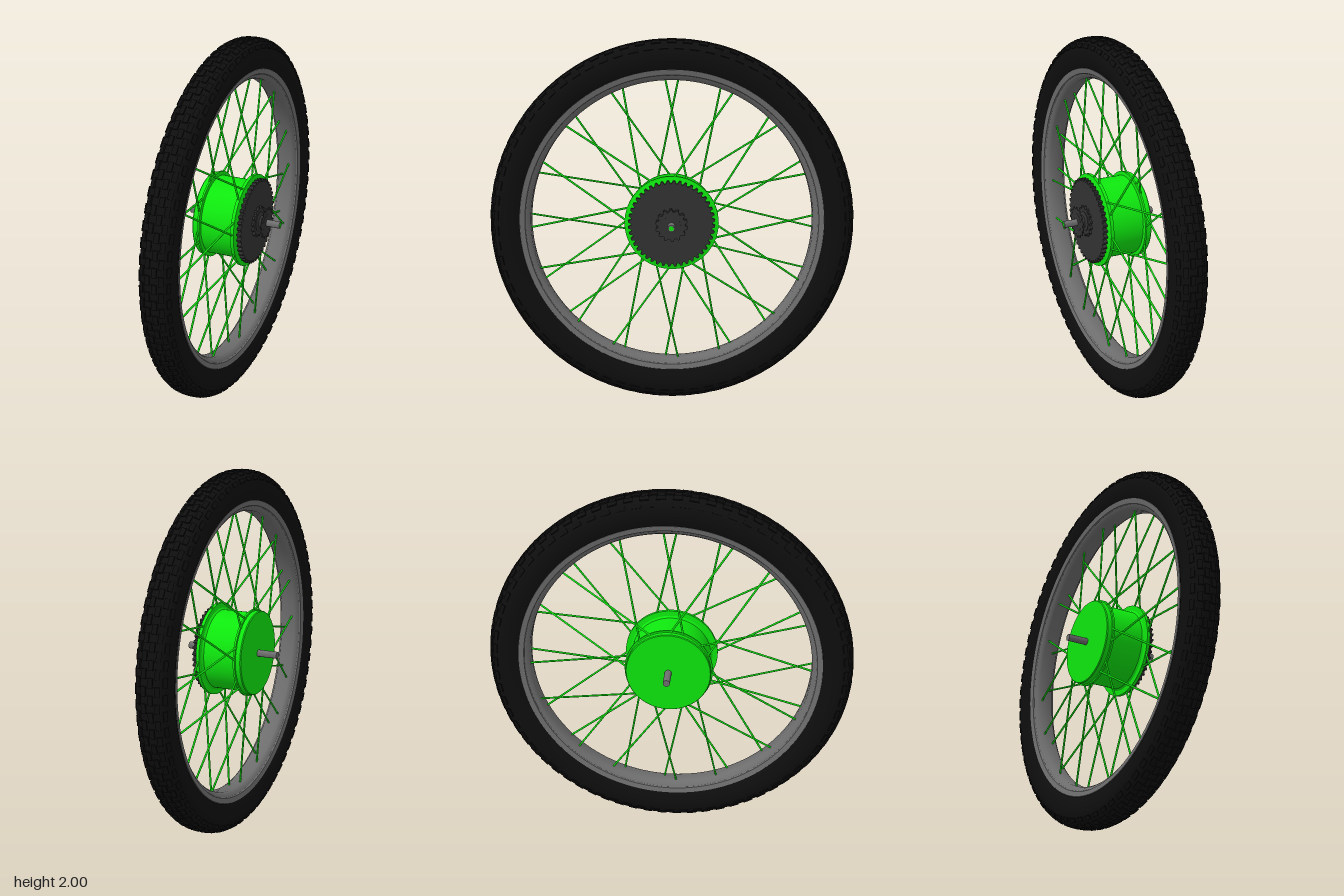
import * as THREE from 'three';
import { toCreasedNormals } from 'three/addons/utils/BufferGeometryUtils.js';

const material = (color) => new THREE.MeshStandardMaterial({ color });
const MID = -0.012; // wheel's middle plane
const HUB_Y = 1.01; // axle height

export function createModel() {
  const model = new THREE.Group();
  const rubber = material(0x0e0e0e);
  const metal = material(0x6e6e6e);
  const dark = material(0x323232);
  const green = material(0x0ee80e);

  const add = (name, geometry, mat, x = 0, y = 0, parent = model) => {
    const mesh = new THREE.Mesh(geometry, mat);
    mesh.name = name;
    mesh.position.set(x, y, 0);
    parent.add(mesh);
    return mesh;
  };

  // Solid of revolution around the x axis, from [radius, x] pairs
  const turned = (points, segments = 64) => {
    const profile = points.map(([r, x]) => new THREE.Vector2(r, x));
    const geometry = new THREE.LatheGeometry(profile, segments).rotateZ(-Math.PI / 2);
    return toCreasedNormals(geometry, 0.6);
  };

  // Toothed plate facing +x, starting at x = 0
  const toothed = (teeth, root, tip, depth, hole) => {
    const shape = new THREE.Shape();
    for (let i = 0; i < teeth; i++) {
      [[0, root], [0.25, root], [0.45, tip], [0.75, tip]].forEach(([f, r], j) => {
        const a = ((i + f) / teeth) * Math.PI * 2;
        shape[i + j ? 'lineTo' : 'moveTo'](r * Math.cos(a), r * Math.sin(a));
      });
    }
    shape.closePath();
    shape.holes.push(new THREE.Path().absarc(0, 0, hole, 0, Math.PI * 2, true));
    return new THREE.ExtrudeGeometry(shape, { depth, bevelEnabled: false, curveSegments: 24 })
      .rotateY(Math.PI / 2);
  };

  // Tyre: rounded casing, open at the bead
  const tyre = [
    [0.825, -0.066], [0.85, -0.078], [0.88, -0.086], [0.91, -0.088], [0.94, -0.085],
    [0.965, -0.074], [0.982, -0.055], [0.99, -0.03], [0.993, 0], [0.99, 0.03],
    [0.982, 0.055], [0.965, 0.074], [0.94, 0.085], [0.91, 0.088], [0.88, 0.086],
    [0.85, 0.078], [0.825, 0.066], [0.825, -0.066],
  ];
  add('tyre', turned(tyre, 128), rubber, MID, 1);

  // Tread blocks: centre pair, shoulders and edges, staggered: [x, radius, tilt, width]
  const rows = [[0.018, 0.991, 0.08, 0.026], [0.05, 0.982, 0.5, 0.026], [0.076, 0.955, 1.05, 0.024]];
  const count = 72;
  rows.forEach(([x, r, tilt, width], row) => {
    const block = new THREE.BoxGeometry(width, 0.014, 0.05);
    const treads = new THREE.InstancedMesh(block, rubber, count * 2);
    treads.name = 'treadRow';
    const matrix = new THREE.Matrix4();
    for (let i = 0; i < count; i++) {
      [-1, 1].forEach((side, j) => {
        const a = ((i + row * 0.5 + j * 0.5) / count) * Math.PI * 2;
        matrix.makeRotationX(a)
          .multiply(new THREE.Matrix4().makeTranslation(side * x, r, 0))
          .multiply(new THREE.Matrix4().makeRotationZ(-side * tilt));
        treads.setMatrixAt(i * 2 + j, matrix);
      });
    }
    treads.position.set(MID, 1, 0);
    model.add(treads);
  });

  // Rim: shallow channel with lipped walls
  add('rim', turned([
    [0.775, -0.035], [0.775, 0.035], [0.785, 0.05], [0.8, 0.058], [0.804, 0.066],
    [0.832, 0.072], [0.836, 0.066], [0.836, -0.066], [0.832, -0.072], [0.804, -0.066],
    [0.8, -0.058], [0.785, -0.05], [0.775, -0.035],
  ].reverse(), 128), metal, MID, 1.003);

  // Motor hub: drum, left cover and the two spoke flanges
  add('hubDrum', turned([
    [0, -0.155], [0.228, -0.155], [0.232, -0.15], [0.232, -0.125], [0.24, -0.123],
    [0.24, -0.112], [0.218, -0.11], [0.218, 0.07], [0.228, 0.078], [0.256, 0.08],
    [0.256, 0.098], [0.236, 0.1], [0.225, 0.106], [0, 0.106],
  ]), green, 0, HUB_Y);

  // Spokes: crossing pairs, flanges swapping from pair to pair
  const spokes = new THREE.Group();
  spokes.name = 'spokes';
  const polar = (x, y, r, degrees) => {
    const a = THREE.MathUtils.degToRad(degrees);
    return new THREE.Vector3(x, y + r * Math.sin(a), r * Math.cos(a));
  };
  const up = new THREE.Vector3(0, 1, 0);
  for (let k = 0; k < 16; k++) {
    for (const lean of [-1, 1]) {
      const side = k % 2 ? lean : -lean;
      const outer = polar(MID + side * 0.018, 1.003, 0.78, k * 22.5 + lean * 2.6);
      const inner = polar(side > 0 ? 0.09 : -0.122, HUB_Y, side > 0 ? 0.245 : 0.23, k * 22.5 - lean * 20);
      const along = outer.clone().sub(inner);
      const spoke = add('spoke', new THREE.CylinderGeometry(0.0055, 0.0055, along.length(), 8), green, 0, 0, spokes);
      spoke.position.copy(inner).addScaledVector(along, 0.5);
      spoke.quaternion.setFromUnitVectors(up, along.normalize());
    }
  }
  model.add(spokes);

  // Drive side: chainring, small cog, spacer and thin outer washer
  add('chainring', toothed(44, 0.22, 0.236, 0.022, 0.02), dark, 0.108, HUB_Y);
  add('smallCog', toothed(14, 0.072, 0.086, 0.012, 0.02), dark, 0.13, HUB_Y);
  add('spacer', turned([
    [0.055, 0.13], [0.055, 0.145], [0.036, 0.152], [0.034, 0.165],
    [0.05, 0.172], [0.05, 0.186], [0.018, 0.188],
  ], 40), dark, 0, HUB_Y);
  add('outerCog', toothed(14, 0.074, 0.088, 0.003, 0.02), dark, 0.182, HUB_Y);

  // Axle through the hub, with a coloured core showing at the drive end
  add('axle', turned([[0, -0.268], [0.019, -0.268], [0.019, 0.264], [0, 0.264]], 24), metal, 0, HUB_Y);
  add('axleCore', turned([[0, 0.25], [0.013, 0.25], [0.013, 0.266], [0, 0.266]], 20), green, 0, HUB_Y);

  return model;
}
